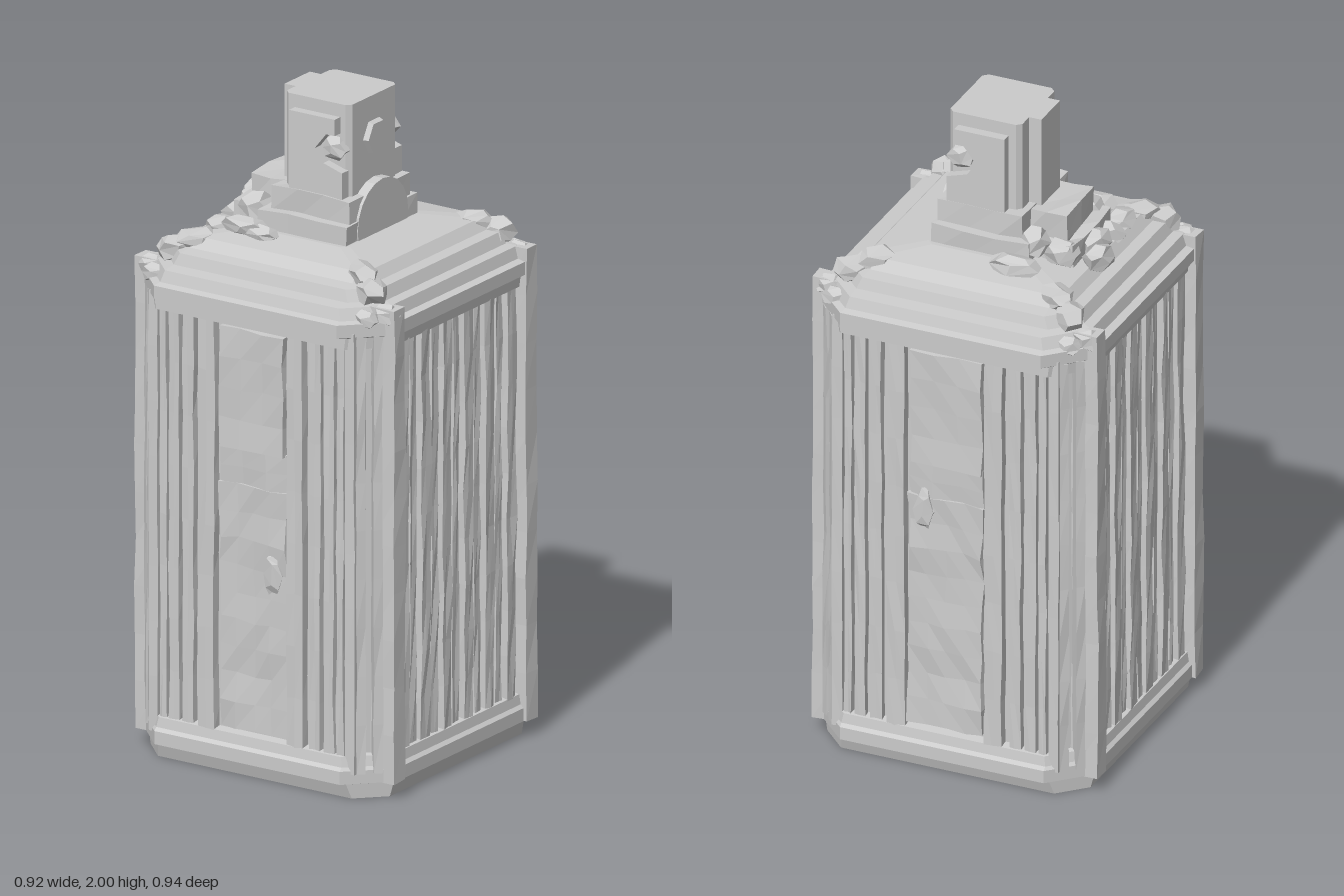
import * as THREE from 'three';

const material = new THREE.MeshStandardMaterial({ color: 0xcccccc, flatShading: true });

// Repeatable pseudo-random value from a position, so shared corners move together
function hash(x, y, z, k) {
  const r = v => Math.round(v * 1000);
  const s = Math.sin(r(x) * 12.9898 + r(y) * 7.233 + r(z) * 37.719 + k * 53.17) * 4375.5453;
  return (s - Math.floor(s)) * 2 - 1;
}

function roughen(geometry, ax, ay, az) {
  const g = geometry.index ? geometry.toNonIndexed() : geometry;
  const p = g.attributes.position;
  for (let i = 0; i < p.count; i++) {
    const x = p.getX(i), y = p.getY(i), z = p.getZ(i);
    p.setXYZ(i, x + ax * hash(x, y, z, 1), y + ay * hash(x, y, z, 2), z + az * hash(x, y, z, 3));
  }
  g.computeVertexNormals();
  return g;
}

function add(parent, name, geometry) {
  const m = new THREE.Mesh(geometry, material);
  m.name = name;
  parent.add(m);
  return m;
}

// Worn box given by its limits
function block(parent, name, x0, x1, y0, y1, z0, z1, wear = 0, segs = [1, 1, 1]) {
  const g = new THREE.BoxGeometry(x1 - x0, y1 - y0, z1 - z0, ...segs);
  g.translate((x0 + x1) / 2, (y0 + y1) / 2, (z0 + z1) / 2);
  return add(parent, name, roughen(g, wear, wear, wear));
}

// Stack of chamfered rectangles; each row is [y, half x, half z, chamfer]
function chamferedStack(rows) {
  const rings = rows.map(([y, a, b, c]) => [
    [a, y, -b + c], [a, y, b - c], [a - c, y, b], [-a + c, y, b],
    [-a, y, b - c], [-a, y, -b + c], [-a + c, y, -b], [a - c, y, -b]]);
  const v = [];
  const tri = (...pts) => pts.forEach(p => v.push(...p));
  const first = rings[0], last = rings[rings.length - 1];
  for (let i = 0; i < 8; i++) {
    const j = (i + 1) % 8;
    for (let k = 0; k + 1 < rings.length; k++) {
      const lo = rings[k], hi = rings[k + 1];
      tri(lo[i], hi[i], lo[j]);
      tri(lo[j], hi[i], hi[j]);
    }
    tri([0, rows[0][0], 0], first[i], first[j]);
    tri([0, last[i][1], 0], last[j], last[i]);
  }
  const g = new THREE.BufferGeometry();
  g.setAttribute('position', new THREE.Float32BufferAttribute(v, 3));
  g.computeVertexNormals();
  return g;
}

// Chunky stone, optionally turned about y
function rock(parent, x, y, z, sx, sy, sz, turn = 0) {
  const g = new THREE.DodecahedronGeometry(1).scale(sx, sy, sz).rotateY(turn).translate(x, y, z);
  add(parent, 'rubble', roughen(g, sx * 0.12, sy * 0.12, sz * 0.12));
}

export function createModel() {
  const model = new THREE.Group();
  model.name = 'stoneTower';

  // Core, stepped plinth with a shallow recess below, and stepped roof
  add(model, 'core', chamferedStack([[0.1, 0.405, 0.415, 0.08], [1.42, 0.405, 0.415, 0.08]]));
  add(model, 'plinth', chamferedStack([
    [0.012, 0.375, 0.375, 0.06], [0, 0.39, 0.39, 0.06],
    [0, 0.42, 0.42, 0.08], [0.045, 0.43, 0.435, 0.1], [0.05, 0.445, 0.46, 0.12],
    [0.09, 0.445, 0.46, 0.12], [0.1, 0.435, 0.45, 0.11], [0.13, 0.43, 0.445, 0.11],
    [0.135, 0.4, 0.41, 0.08]]));
  add(model, 'roof', chamferedStack([
    [1.375, 0.405, 0.415, 0.08], [1.38, 0.43, 0.445, 0.1], [1.415, 0.435, 0.445, 0.1],
    [1.42, 0.45, 0.47, 0.13], [1.46, 0.45, 0.47, 0.13], [1.465, 0.425, 0.445, 0.11],
    [1.5, 0.415, 0.435, 0.11], [1.505, 0.385, 0.39, 0.08], [1.54, 0.37, 0.38, 0.08],
    [1.545, 0.335, 0.335, 0.05], [1.575, 0.31, 0.31, 0.03], [1.592, 0.17, 0.2, 0.02]]));

  for (const s of [-1, 1]) {
    // Fluted side walls, with alternating wide and narrow slats
    const side = new THREE.Group();
    side.name = s > 0 ? 'leftWall' : 'rightWall';
    model.add(side);
    for (let i = 0; i < 11; i++) {
      const z = (i - 5) * 0.055;
      const w = i % 2 ? 0.016 : 0.022;
      const out = i % 2 ? 0.42 : 0.428;
      block(side, 'slat', s > 0 ? 0.38 : -out, s > 0 ? out : -0.38, 0.12, 1.385,
        z - w, z + w, 0.004, [1, 9, 2]);
    }

    // Front and back walls: slats around a worn two-part panel
    const wall = new THREE.Group();
    wall.name = s > 0 ? 'frontWall' : 'backWall';
    if (s < 0) wall.scale.z = -1;
    model.add(wall);
    for (const m of [-1, 1]) {
      [[0.155, 0.055], [0.222, 0.038], [0.272, 0.035], [0.31, 0.024]].forEach(([x, w], i) =>
        block(wall, 'slat', m * x - w / 2, m * x + w / 2, 0.12, 1.385, 0.38,
          i === 0 ? 0.443 : 0.437, 0.003, [2, 8, 1]));
      block(wall, 'edgeStrip', m * 0.345 - 0.016, m * 0.345 + 0.016, 0.08, 1.43, 0.36, 0.437, 0.002, [1, 8, 1]);
    }
    block(wall, 'upperPanel', -0.115, 0.11, 1.0, 1.37, 0.39, 0.436, 0.004, [3, 4, 1]);
    block(wall, 'lowerPanel', -0.115, 0.12, 0.145, 0.89, 0.39, 0.43, 0.006, [4, 9, 1]);
    block(wall, 'panelBreak', -0.12, 0.12, 0.88, 1.01, 0.39, 0.424, 0.006, [3, 2, 1]);
    rock(wall, 0.07, s > 0 ? 0.64 : 0.85, 0.427, 0.035, 0.07, 0.014);

    // Corner posts, chamfer ribs and rubble on the roof corners
    for (const t of [-1, 1]) {
      block(model, 'cornerPost', s > 0 ? 0.37 : -0.455, s > 0 ? 0.455 : -0.37, 0.05, 1.5,
        t * 0.34 - 0.028, t * 0.34 + 0.028, 0.003, [1, 10, 1]);
      for (const d of [-0.018, 0.018]) {
        const rib = add(model, 'chamferRib',
          roughen(new THREE.BoxGeometry(0.026, 1.34, 0.05, 1, 9, 1), 0.003, 0.003, 0.003));
        rib.position.set(s * (0.373 + d), 0.75, t * (0.383 - d));
        rib.rotation.y = s * t * Math.PI / 4;
      }
      const turn = -s * t * Math.PI / 4;
      rock(model, s * 0.285, 1.56, t * 0.285, 0.075, 0.038, 0.05, turn);
      rock(model, s * 0.345, 1.53, t * 0.325, 0.06, 0.045, 0.05, turn);
      rock(model, s * 0.41, 1.475, t * 0.345, 0.045, 0.035, 0.04);
      rock(model, s * 0.37, 1.465, t * 0.385, 0.045, 0.03, 0.035);
    }
  }

  // Collar under the head, stepped toward -x, with a round arch on the +x side
  const collar = new THREE.Group();
  collar.name = 'collar';
  model.add(collar);
  block(collar, 'lowerStep', -0.15, 0.16, 1.56, 1.65, -0.187, 0.187, 0.004, [3, 1, 3]);
  block(collar, 'upperStep', -0.12, 0.154, 1.64, 1.72, -0.158, 0.158, 0.004, [3, 1, 3]);
  block(collar, 'rearStep', -0.23, -0.1, 1.56, 1.72, -0.1, 0.1, 0.006, [2, 2, 2]);
  block(collar, 'rearFoot', -0.27, -0.1, 1.56, 1.64, -0.14, 0.14, 0.008, [2, 1, 3]);
  const arch = add(collar, 'arch', new THREE.CylinderGeometry(0.13, 0.13, 0.08, 20));
  arch.rotation.z = Math.PI / 2;
  arch.position.set(0.124, 1.62, 0);

  // Fallen stones around the collar
  [[-0.13, 1.6, -0.23, 0.085, 0.035, 0.045], [-0.17, 1.6, 0.215, 0.08, 0.035, 0.045],
    [-0.1, 1.59, 0.23, 0.055, 0.03, 0.035], [-0.325, 1.59, -0.07, 0.045, 0.045, 0.06],
    [-0.27, 1.58, 0.09, 0.06, 0.045, 0.04], [-0.23, 1.61, -0.12, 0.06, 0.045, 0.05],
    [-0.27, 1.575, 0.19, 0.05, 0.035, 0.06], [-0.19, 1.63, 0.13, 0.06, 0.055, 0.05],
    [-0.28, 1.6, 0.0, 0.045, 0.045, 0.06], [-0.15, 1.64, -0.14, 0.05, 0.05, 0.045]]
    .forEach(r => rock(model, ...r));

  // Head with side plates, rear rib and a faceted boss
  const head = new THREE.Group();
  head.name = 'head';
  model.add(head);
  add(head, 'headBlock', chamferedStack([[1.6, 0.115, 0.125, 0.015], [2, 0.115, 0.125, 0.015]]))
    .position.x = 0.017;
  block(head, 'rearRib', -0.137, 0, 1.65, 2, -0.065, 0.065);
  const boss = add(head, 'boss', new THREE.CylinderGeometry(0.05, 0.062, 0.03, 6));
  boss.rotation.set(0, 0, -Math.PI / 2);
  boss.position.set(0.133, 1.875, 0);
  for (const s of [-1, 1]) {
    // Side plate with a notch on its +x edge, filled by a chipped stone
    const plate = new THREE.Shape([[-0.06, 1.7], [0.125, 1.7], [0.125, 1.8], [0.06, 1.82],
      [0.03, 1.86], [0.07, 1.91], [0.1, 1.91], [0.1, 1.96], [-0.06, 1.96]]
      .map(p => new THREE.Vector2(...p)));
    const g = new THREE.ExtrudeGeometry(plate, { depth: 0.035, bevelEnabled: false });
    add(head, 'sidePlate', g).position.z = s > 0 ? 0.12 : -0.155;
    rock(head, 0.085, 1.865, s * 0.13, 0.045, 0.04, 0.024);
  }
  return model;
}
